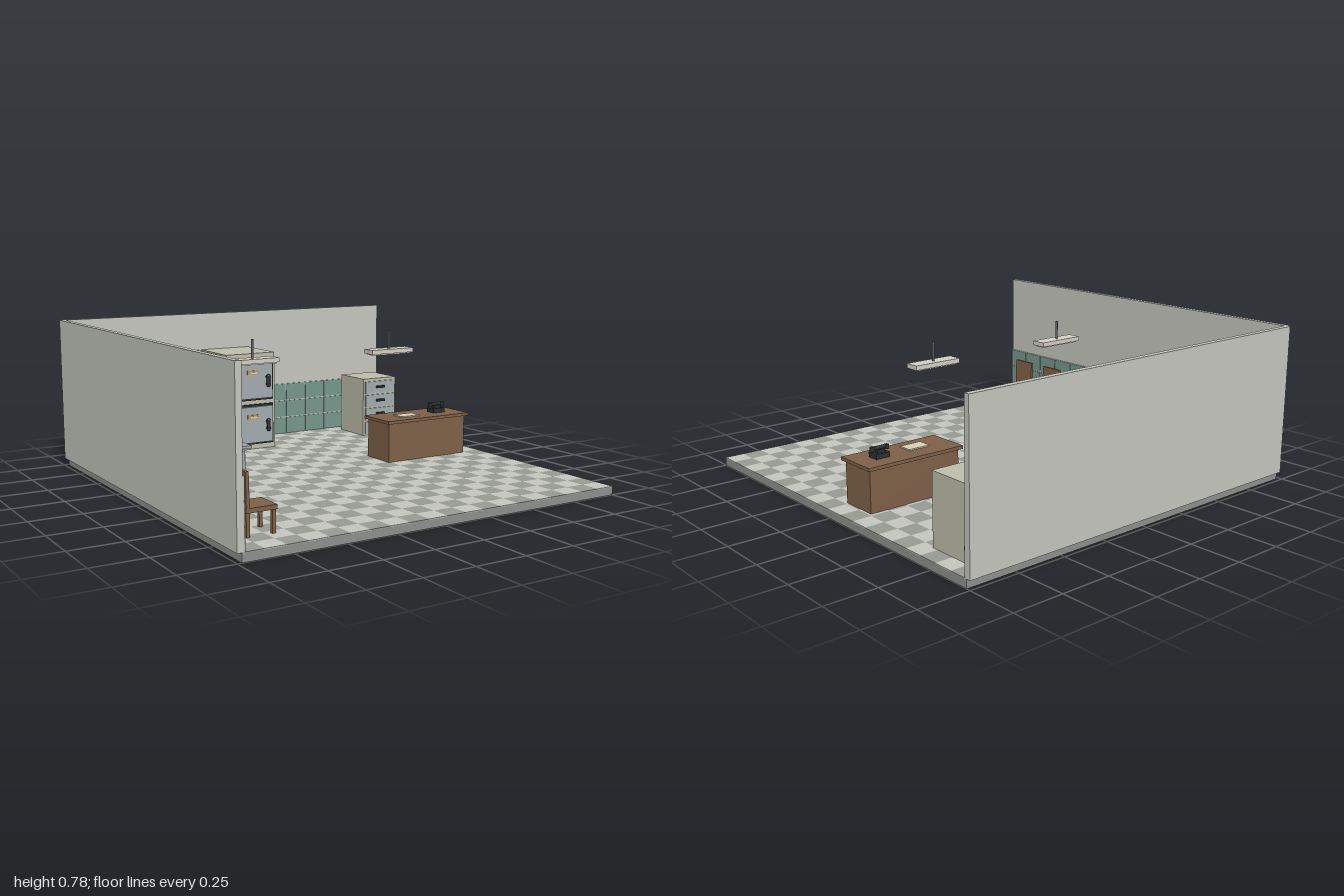
import * as THREE from 'three';

const mats = {};
const mat = (c) => (mats[c] ??= new THREE.MeshStandardMaterial({ color: c }));
const WALL = 0xc3c5bd, TILE = 0x76968b, GROUT = 0xb4beb4, CREAM = 0xbcbda9, STEEL = 0xa2abae,
  BLACK = 0x2c3030, WOOD = 0x7e6047, BRASS = 0xb8925a, FLOOR = 0x8c8f8c;

// Box given by its min and max corners
function box(parent, name, color, x0, x1, y0, y1, z0, z1) {
  const m = new THREE.Mesh(new THREE.BoxGeometry(x1 - x0, y1 - y0, z1 - z0), mat(color));
  m.position.set((x0 + x1) / 2, (y0 + y1) / 2, (z0 + z1) / 2);
  m.name = name;
  parent.add(m);
  return m;
}

// Round bar between two points
function rod(parent, name, color, a, b, r, sides = 10) {
  const p = new THREE.Vector3(...a), d = new THREE.Vector3(...b).sub(p);
  const m = new THREE.Mesh(new THREE.CylinderGeometry(r, r, d.length(), sides), mat(color));
  m.position.copy(p).addScaledVector(d, 0.5);
  m.quaternion.setFromUnitVectors(new THREE.Vector3(0, 1, 0), d.normalize());
  m.name = name;
  parent.add(m);
  return m;
}

function group(parent, name) {
  const g = new THREE.Group();
  g.name = name;
  parent.add(g);
  return g;
}

// Slab with a checkerboard of tiles
function floor(root) {
  const g = group(root, 'floor'), n = 20, s = 1.98 / n;
  box(g, 'floorSlab', FLOOR, -0.98, 1, 0, 0.038, -0.98, 1);
  for (let i = 0; i < n; i++) for (let j = 0; j < n; j++) {
    const x = -0.98 + i * s, z = -0.98 + j * s;
    box(g, 'floorTile', (i + j) % 2 ? 0x969a93 : 0xc2c5bd, x, x + s, 0.038, 0.042, z, z + s);
  }
}

// Two walls, each with three rows of tiles along the bottom
function walls(root) {
  const g = group(root, 'walls');
  box(g, 'backWall', WALL, -0.98, 1, 0.04, 0.775, -1, -0.972);
  box(g, 'leftWall', WALL, -1, -0.972, 0.04, 0.775, -0.985, 1);
  box(g, 'backGrout', GROUT, -0.972, 1, 0.04, 0.338, -0.972, -0.967);
  box(g, 'sideGrout', GROUT, -0.972, -0.967, 0.04, 0.338, -0.972, 1);
  const n = 15, s = 1.967 / n, gap = 0.003;
  for (let i = 0; i < n; i++) for (let r = 0; r < 3; r++) {
    const a = -0.967 + i * s + gap, b = a + s - 2 * gap, y = 0.042 + r * 0.1;
    box(g, 'backTile', TILE, a, b, y, y + 0.094, -0.967, -0.963);
    box(g, 'sideTile', TILE, -0.967, -0.963, y, y + 0.094, a, b);
  }
}

// Cold cabinet with two insulated doors
function coldCabinet(root, x0) {
  const g = group(root, 'coldCabinet');
  box(g, 'cabinetBody', CREAM, x0, x0 + 0.295, 0.04, 0.573, -0.963, -0.655);
  for (const y of [0.07, 0.315]) {
    const d = group(g, 'door');
    box(d, 'gasket', BLACK, x0 + 0.012, x0 + 0.28, y, y + 0.222, -0.655, -0.645);
    box(d, 'doorPanel', STEEL, x0 + 0.022, x0 + 0.27, y + 0.011, y + 0.211, -0.645, -0.63);
    box(d, 'labelHolder', BRASS, x0 + 0.112, x0 + 0.178, y + 0.145, y + 0.167, -0.63, -0.625);
    box(d, 'labelCard', 0xd8cfae, x0 + 0.13, x0 + 0.172, y + 0.149, y + 0.159, -0.625, -0.623);
    for (const h of [0.04, 0.155]) {
      box(d, 'hinge', STEEL, x0 + 0.015, x0 + 0.045, y + h, y + h + 0.028, -0.645, -0.622);
    }
    for (const h of [0.088, 0.128]) {
      rod(d, 'handlePost', BLACK, [x0 + 0.233, y + h, -0.63], [x0 + 0.233, y + h, -0.61], 0.007);
    }
    const grip = new THREE.Mesh(new THREE.CapsuleGeometry(0.011, 0.05, 4, 10), mat(BLACK));
    grip.position.set(x0 + 0.233, y + 0.108, -0.612);
    grip.name = 'handle';
    d.add(grip);
  }
}

// Sink unit with a hollow basin and tap
function sink(root) {
  const g = group(root, 'sink');
  box(g, 'sinkCabinet', CREAM, -0.96, -0.757, 0.04, 0.262, -0.578, -0.366);
  const top = new THREE.Shape([[-0.963, 0.36], [-0.75, 0.36], [-0.75, 0.588], [-0.963, 0.588]]
    .map((p) => new THREE.Vector2(...p)));
  top.holes.push(new THREE.Path([[-0.93, 0.4], [-0.93, 0.545], [-0.787, 0.545], [-0.787, 0.4]]
    .map((p) => new THREE.Vector2(...p))));
  const m = new THREE.Mesh(new THREE.ExtrudeGeometry(top, { depth: 0.014, bevelEnabled: false }), mat(STEEL));
  m.rotation.x = -Math.PI / 2;
  m.position.y = 0.262;
  m.name = 'counter';
  g.add(m);
  box(g, 'basin', BLACK, -0.93, -0.787, 0.26, 0.266, -0.545, -0.4);
  const path = new THREE.CatmullRomCurve3([[0.27, -0.567], [0.325, -0.567], [0.341, -0.558], [0.341, -0.53], [0.33, -0.52]]
    .map(([y, z]) => new THREE.Vector3(-0.858, y, z)));
  const tap = new THREE.Mesh(new THREE.TubeGeometry(path, 20, 0.006, 8), mat(STEEL));
  tap.name = 'tap';
  g.add(tap);
}

// Wheeled table with lower shelf
function trolley(root) {
  const g = group(root, 'trolley');
  box(g, 'trolleyTop', STEEL, -0.745, -0.49, 0.243, 0.256, -0.285, 0.17);
  box(g, 'shelf', STEEL, -0.725, -0.51, 0.09, 0.1, -0.25, 0.135);
  for (const x of [-0.722, -0.513]) {
    rod(g, 'sideRail', STEEL, [x, 0.225, -0.24], [x, 0.225, 0.13], 0.006);
    for (const z of [-0.24, 0.13]) {
      rod(g, 'leg', STEEL, [x, 0.075, z], [x, 0.245, z], 0.008);
      rod(g, 'wheel', BLACK, [x - 0.008, 0.062, z], [x + 0.008, 0.062, z], 0.021, 16);
    }
  }
  for (const z of [-0.24, 0.13]) rod(g, 'endRail', STEEL, [-0.722, 0.225, z], [-0.513, 0.225, z], 0.006);
}

function chair(root, z) {
  const g = group(root, 'chair');
  box(g, 'seat', WOOD, -0.88, -0.737, 0.142, 0.162, z - 0.068, z + 0.068);
  const back = box(g, 'backrest', WOOD, -0.879, -0.864, 0.162, 0.312, z - 0.068, z + 0.068);
  back.rotation.z = 0.02;
  for (const x of [-0.868, -0.75]) for (const s of [-1, 1]) {
    box(g, 'chairLeg', WOOD, x - 0.008, x + 0.008, 0.04, 0.142, z + s * 0.055 - 0.008, z + s * 0.055 + 0.008);
  }
}

// Desk with paper and telephone
function desk(root) {
  const g = group(root, 'desk');
  box(g, 'deskBody', WOOD, 0.395, 0.89, 0.04, 0.246, -0.17, 0.022);
  box(g, 'deskTop', WOOD, 0.38, 0.905, 0.246, 0.262, -0.187, 0.037);
  box(g, 'paper', 0xd6cfb6, 0.505, 0.62, 0.262, 0.268, -0.093, -0.02);
  const p = group(g, 'telephone');
  box(p, 'phoneBase', BLACK, 0.735, 0.81, 0.262, 0.285, -0.105, -0.045);
  box(p, 'cradle', BLACK, 0.752, 0.793, 0.285, 0.3, -0.092, -0.06);
  rod(p, 'handset', BLACK, [0.735, 0.307, -0.076], [0.81, 0.307, -0.076], 0.009);
  for (const x of [0.735, 0.81]) rod(p, 'earpiece', BLACK, [x, 0.294, -0.076], [x, 0.314, -0.076], 0.013);
}

function filingCabinet(root) {
  const g = group(root, 'filingCabinet');
  box(g, 'filingBody', CREAM, 0.687, 0.912, 0.04, 0.376, -0.885, -0.652);
  for (let i = 0; i < 4; i++) {
    const y = 0.052 + i * 0.079;
    box(g, 'drawer', STEEL, 0.7, 0.899, y, y + 0.07, -0.652, -0.644);
    box(g, 'drawerHandle', BLACK, 0.773, 0.827, y + 0.03, y + 0.043, -0.644, -0.63);
  }
}

// Hanging lamp on a short rod
function lamp(root, x) {
  const g = group(root, 'lamp');
  box(g, 'lampHousing', 0xd2cfc3, x - 0.127, x + 0.127, 0.616, 0.638, -0.037, 0.037);
  box(g, 'lampDiffuser', 0xe4e0d0, x - 0.115, x + 0.115, 0.61, 0.616, -0.028, 0.028);
  rod(g, 'lampRod', 0x5c6060, [x, 0.638, 0], [x, 0.73, 0], 0.006);
}

export function createModel() {
  const root = new THREE.Group();
  root.name = 'room';
  floor(root);
  walls(root);
  for (const x of [-0.835, -0.518, -0.2]) coldCabinet(root, x);
  sink(root);
  trolley(root);
  for (const z of [0.54, 0.778]) chair(root, z);
  desk(root);
  filingCabinet(root);
  for (const x of [-0.392, 0.403]) lamp(root, x);
  return root;
}
